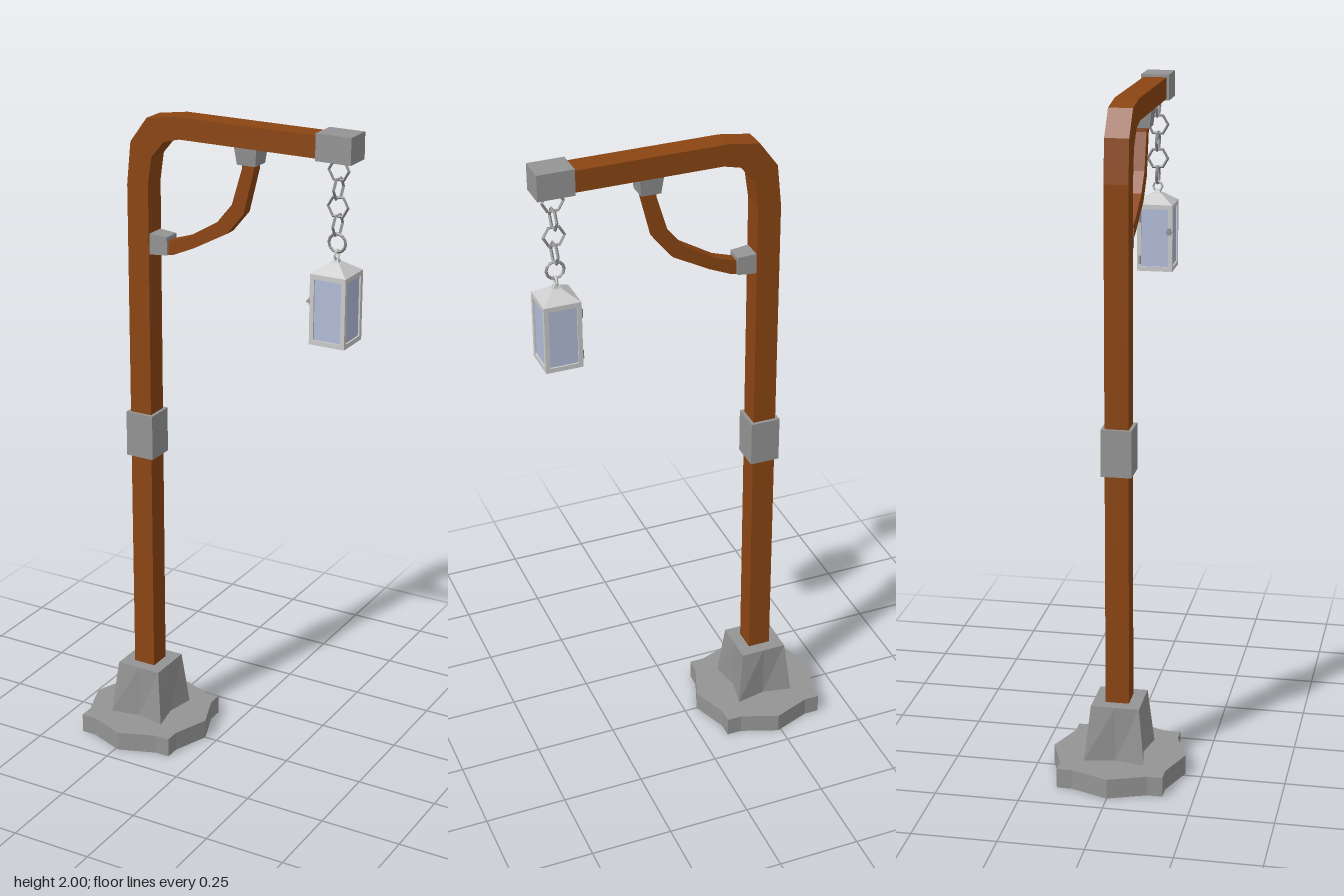
import * as THREE from 'three';

const paint = (color) => new THREE.MeshStandardMaterial({ color, flatShading: true });

export function createModel() {
  const model = new THREE.Group();
  model.name = 'hangingLanternPost';
  const wood = paint(0x8b4513), iron = paint(0x949494), frame = paint(0xcccccc), glass = paint(0xb2bcd8);
  const postX = -0.24, lampX = 0.384;

  const add = (name, geometry, material, x = 0, y = 0, z = 0, parent = model) => {
    const mesh = new THREE.Mesh(geometry, material);
    mesh.name = name;
    mesh.position.set(x, y, z);
    parent.add(mesh);
    return mesh;
  };
  const box = (name, w, h, d, material, x, y, z, parent) =>
    add(name, new THREE.BoxGeometry(w, h, d), material, x, y, z, parent);
  // Flat outline given a thickness, centred on its depth
  const slab = (points, depth) => {
    const shape = new THREE.Shape(points.map(([x, y]) => new THREE.Vector2(x, y)));
    return new THREE.ExtrudeGeometry(shape, { depth, bevelEnabled: false }).translate(0, 0, -depth / 2);
  };
  // Square tapered block from half-widths at the bottom and top
  const taper = (bottom, top, height) =>
    new THREE.CylinderGeometry(top * Math.SQRT2, bottom * Math.SQRT2, height, 4).rotateY(Math.PI / 4);

  // Foot: a star-like slab, one quarter of the outline repeated four times
  const quarter = [[0.2, 0], [0.158, 0.112], [0.158, 0.158], [0.112, 0.158]];
  const outline = [];
  for (let i = 0; i < 4; i++) {
    const c = Math.round(Math.cos(i * Math.PI / 2)), s = Math.round(Math.sin(i * Math.PI / 2));
    for (const [x, y] of quarter) outline.push([x * c - y * s, x * s + y * c]);
  }
  add('footSlab', slab(outline, 0.06).rotateX(-Math.PI / 2), iron, postX, 0.03);

  // Plinth: eight-sided, square on top, with sides drawn in at the bottom
  const plinth = new THREE.CylinderGeometry(1, 1, 0.17, 8);
  const p = plinth.attributes.position;
  for (let i = 0; i < p.count; i++) {
    const x = p.getX(i), z = p.getZ(i);
    if (Math.hypot(x, z) < 0.5) continue;
    const corner = Math.abs(x * z) > 0.1;
    const r = corner && p.getY(i) < 0 ? 0.09 : 0.072;
    p.setX(i, Math.round(x) * r);
    p.setZ(i, Math.round(z) * r);
  }
  add('plinth', plinth, iron, postX, 0.145);

  // Post and arm in one bent beam
  add('postAndArm', slab([
    [-0.275, 0.06], [-0.205, 0.06], [-0.205, 1.785], [-0.193, 1.865], [-0.152, 1.915], [-0.1, 1.928],
    [0.35, 1.928], [0.35, 1.992], [-0.113, 1.992], [-0.207, 1.978], [-0.262, 1.903], [-0.275, 1.777],
  ], 0.07), wood);
  box('postCollar', 0.09, 0.14, 0.09, iron, postX, 1.005, 0);
  box('armEndCap', 0.108, 0.077, 0.085, iron, lampX + 0.002, 1.9615, 0);

  // Curved brace and its two sockets
  add('brace', slab([
    [-0.17, 1.575], [-0.135, 1.58], [-0.066, 1.61], [0.045, 1.67], [0.098, 1.735], [0.13, 1.865], [0.132, 1.9],
    [0.094, 1.9], [0.092, 1.865], [0.06, 1.757], [0.013, 1.7], [-0.087, 1.64], [-0.15, 1.62], [-0.17, 1.618],
  ], 0.036), wood);
  add('upperBraceSocket', taper(0.029, 0.035, 0.05), iron, 0.111, 1.903);
  add('lowerBraceSocket', taper(0.031, 0.027, 0.056), iron, -0.177, 1.606).rotation.z = -Math.PI / 2;

  // Chain: links turned a quarter from one to the next
  const chain = new THREE.Group();
  chain.name = 'chain';
  model.add(chain);
  for (let i = 0; i < 5; i++) {
    const link = new THREE.TorusGeometry(i === 4 ? 0.026 : 0.031, 0.0045, 4, i === 4 ? 12 : 6);
    add('chainLink', link, iron, lampX, 1.895 - i * 0.0515, 0, chain).rotation.y = i % 2 ? Math.PI / 2 : 0;
  }

  // Lantern
  const lantern = new THREE.Group();
  lantern.name = 'lantern';
  lantern.position.set(lampX, 0, 0);
  model.add(lantern);
  box('lanternFloor', 0.11, 0.014, 0.11, frame, 0, 1.407, 0, lantern);
  box('lanternTop', 0.11, 0.014, 0.11, frame, 0, 1.599, 0, lantern);
  box('lanternGlass', 0.1, 0.18, 0.1, glass, 0, 1.503, 0, lantern);
  for (const x of [-1, 1]) for (const z of [-1, 1])
    box('lanternCorner', 0.013, 0.18, 0.013, frame, x * 0.0485, 1.503, z * 0.0485, lantern);
  add('lanternRoof', taper(0.055, 0.013, 0.03), frame, 0, 1.62, 0, lantern);
  add('lanternNeck', taper(0.01, 0.006, 0.012), frame, 0, 1.639, 0, lantern);
  add('lanternEye', new THREE.TorusGeometry(0.014, 0.004, 4, 8), frame, 0, 1.655, 0, lantern).rotation.y = Math.PI / 2;

  // Door fittings on the side facing the post
  for (const y of [1.565, 1.435])
    add('doorHinge', new THREE.CylinderGeometry(0.004, 0.004, 0.026, 6), iron, -0.057, y, -0.045, lantern);
  box('doorLatch', 0.006, 0.02, 0.012, iron, -0.057, 1.525, 0.045, lantern);
  box('doorHandle', 0.008, 0.006, 0.02, iron, -0.061, 1.525, 0.045, lantern);

  return model;
}
